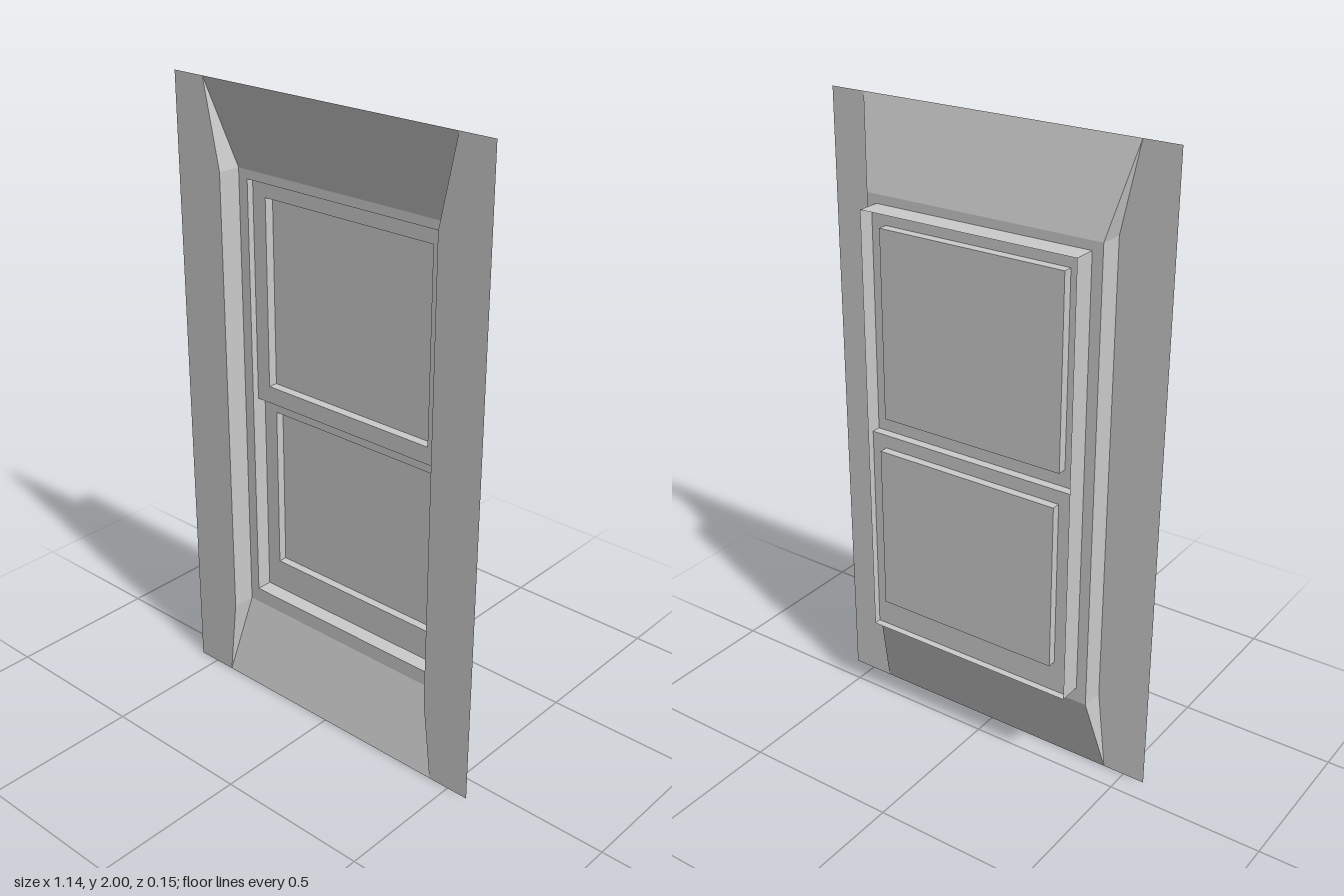
import * as THREE from 'three';

const material = new THREE.MeshStandardMaterial({ color: 0xcccccc, flatShading: true, side: THREE.DoubleSide });

// Rectangle loop, counter-clockwise seen from the front
const rect = (w, y0, y1, z) => [[-w, y0, z], [w, y0, z], [w, y1, z], [-w, y1, z]];

function mesh(name, triangles) {
  const geometry = new THREE.BufferGeometry();
  geometry.setAttribute('position', new THREE.Float32BufferAttribute(triangles.flat(), 3));
  geometry.computeVertexNormals();
  const m = new THREE.Mesh(geometry, material);
  m.name = name;
  return m;
}

const quad = (a, b, c, d) => [a, b, c, a, c, d];

// Skin a list of rectangle loops from front to back, optionally closing the last
function loft(name, loops, closed = false) {
  const tris = [];
  for (let i = 0; i + 1 < loops.length; i++) {
    const p = loops[i], q = loops[i + 1];
    for (let k = 0; k < 4; k++) {
      const n = (k + 1) % 4;
      tris.push(...quad(p[k], p[n], q[n], q[k]));
    }
  }
  if (closed) tris.push(...quad(...loops[loops.length - 1]));
  return mesh(name, tris);
}

export function createModel() {
  const group = new THREE.Group();
  group.name = 'windowNiche';

  const front = 0.0755, flange = 0.003, back = -0.071;
  const lowY = 0.263, highY = 1.732, openW = 0.396;
  const caseW = 0.362, caseLow = 0.313, caseHigh = 1.704, railY = 0.998;

  // Front edge of the opening: flared at top and bottom, straight between
  const edge = s => [[s * 0.43, 0, front], [s * 0.4, lowY, front], [s * 0.4, highY, front], [s * 0.456, 2, front]];
  const inner = s => [[s * openW, lowY, flange], [s * openW, highY, flange]];

  for (const s of [1, -1]) {
    const e = edge(s), [i0, i1] = inner(s);
    const side = s > 0 ? 'left' : 'right';
    const orient = t => {
      if (s > 0) return t;
      const out = [];
      for (let i = 0; i < t.length; i += 3) out.push(t[i], t[i + 2], t[i + 1]);
      return out;
    };
    // Flat wall strip beside the opening
    const strip = [];
    for (let i = 0; i < 3; i++) {
      strip.push(...quad(e[i], [s * 0.571, e[i][1], front], [s * 0.571, e[i + 1][1], front], e[i + 1]));
    }
    group.add(mesh(side + 'WallStrip', orient(strip)));
    // Side of the recess, with a triangle at each end
    group.add(mesh(side + 'Reveal', orient([
      ...quad(i0, e[1], e[2], i1), e[0], e[1], i0, i1, e[2], e[3],
    ])));
  }

  // Sloping sill and head of the recess
  const [l, r] = [edge(-1), edge(1)], [li, ri] = [inner(-1), inner(1)];
  group.add(mesh('sillSlope', quad(l[0], r[0], ri[0], li[0])));
  group.add(mesh('headSlope', quad(li[1], ri[1], r[3], l[3])));

  // Border around the window and the open casing behind it
  group.add(loft('windowBorder', [rect(openW, lowY, highY, flange), rect(caseW, caseLow, caseHigh, flange)]));
  group.add(loft('casing', [rect(caseW, caseLow, caseHigh, flange), rect(caseW, caseLow, caseHigh, back)]));

  // Two sashes, the lower one set further back, each with a recessed pane
  const sashes = [
    ['upperSash', railY, caseHigh, 1.053, 1.653, -0.019, -0.049],
    ['lowerSash', caseLow, railY, 0.416, 0.955, -0.048, -0.0755],
  ];
  for (const [name, y0, y1, p0, p1, zFrame, zPane] of sashes) {
    group.add(loft(name, [
      rect(caseW, y0, y1, zFrame), rect(0.312, p0, p1, zFrame), rect(0.312, p0, p1, zPane),
    ], true));
  }

  // Step between the sashes
  group.add(mesh('meetingRailStep', quad(
    [-caseW, railY, -0.048], [caseW, railY, -0.048], [caseW, railY, -0.019], [-caseW, railY, -0.019])));

  return group;
}
